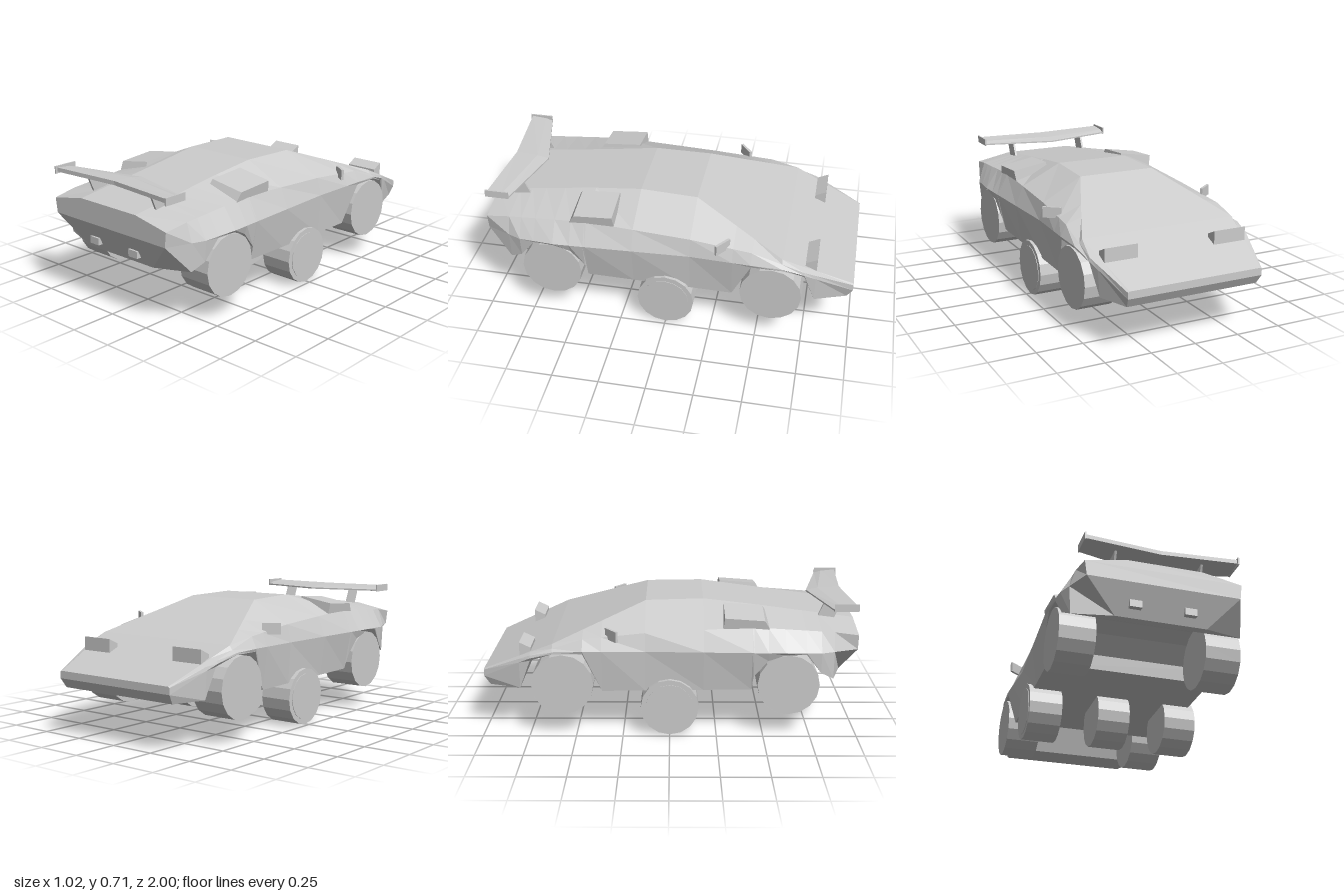
import * as THREE from 'three';

const mat = new THREE.MeshStandardMaterial({ color: 0xcccccc, flatShading: true, side: THREE.DoubleSide });

// Skin between rings of [x, y, z] points, with both ends closed in strips
function loft(rings) {
  const v = [];
  const quad = (a, b, c, d) => v.push(...a, ...b, ...c, ...a, ...c, ...d);
  const n = rings[0].length;
  for (let j = 0; j < rings.length - 1; j++) {
    for (let i = 0; i < n; i++) {
      const k = (i + 1) % n;
      quad(rings[j][i], rings[j][k], rings[j + 1][k], rings[j + 1][i]);
    }
  }
  const first = rings[0], last = rings[rings.length - 1];
  for (let i = 0; i < n / 2 - 1; i++) {
    const k = n - 1 - i;
    quad(last[i], last[i + 1], last[k - 1], last[k]);
    quad(first[k], first[k - 1], first[i + 1], first[i]);
  }
  const g = new THREE.BufferGeometry();
  g.setAttribute('position', new THREE.Float32BufferAttribute(v, 3));
  g.computeVertexNormals();
  return g;
}

// Point [x, y] at z on a body line of [z, x, y] keys
function along(line, z) {
  const i = Math.max(1, line.findIndex(p => p[0] >= z));
  const [a, b] = [line[i - 1], line[i]];
  const t = (z - a[0]) / (b[0] - a[0]);
  return [a[1] + (b[1] - a[1]) * t, a[2] + (b[2] - a[2]) * t];
}

// Side profile of [z, y] points given a width along x
function sideProfile(pts, width) {
  const shape = new THREE.Shape(pts.map(p => new THREE.Vector2(...p)));
  return new THREE.ExtrudeGeometry(shape, { depth: width, bevelEnabled: false })
    .translate(0, 0, -width / 2).rotateY(-Math.PI / 2);
}

// Body lines from nose to tail; the sill rises over the wheel arches
const sill = [
  [-1, 0.37, 0.25], [-0.8, 0.43, 0.25], [-0.74, 0.45, 0.41], [-0.62, 0.48, 0.455],
  [-0.46, 0.48, 0.455], [-0.36, 0.45, 0.24], [0.435, 0.45, 0.25], [0.445, 0.47, 0.33],
  [0.52, 0.48, 0.42], [0.61, 0.49, 0.455], [0.72, 0.485, 0.455], [0.8, 0.47, 0.35],
  [0.87, 0.445, 0.31], [1, 0.24, 0.298],
];
const waist = [
  [-1, 0.38, 0.3], [-0.74, 0.46, 0.425], [-0.62, 0.48, 0.465], [-0.46, 0.485, 0.47],
  [-0.13, 0.465, 0.465], [0.61, 0.5, 0.468], [0.8, 0.48, 0.462], [1, 0.4, 0.46],
];
const shoulder = [
  [-1, 0.38, 0.335], [-0.74, 0.455, 0.44], [-0.46, 0.455, 0.53], [-0.13, 0.44, 0.56],
  [0.435, 0.43, 0.59], [0.87, 0.42, 0.56], [1, 0.41, 0.54],
];
const roof = [
  [-1, 0.37, 0.34], [-0.62, 0.44, 0.5], [-0.13, 0.22, 0.68],
  [0.18, 0.21, 0.687], [0.435, 0.2, 0.655], [1, 0.2, 0.58],
];

function bodyGeometry() {
  const lines = [sill, waist, shoulder, roof];
  const stations = [...new Set(lines.flat().map(p => p[0]))].sort((a, b) => a - b);
  return loft(stations.map(z => {
    // The lower edge is tucked in at nose and tail
    const half = lines.map((line, i) => [...along(line, z), i ? z : Math.min(0.93, Math.max(-0.97, z))]);
    return [...half, ...half.map(([x, y, pz]) => [-x, y, pz]).reverse()];
  }));
}

// Wing sections at both tips and the centre, swept forward in the middle
function wingGeometry() {
  return loft([-0.41, 0, 0.41].map(x => {
    const tip = Math.abs(x) / 0.41;
    const [front, crease, rear] = [0.765 + 0.1 * tip, 0.83 + 0.075 * tip, 0.95 + 0.035 * tip];
    return [
      [x, 0.672, front], [x, 0.668, crease], [x, 0.678, rear],
      [x, 0.70, rear], [x, 0.692, crease], [x, 0.68, front],
    ];
  }));
}

export function createModel() {
  const model = new THREE.Group();
  const add = (name, geo, x = 0, y = 0, z = 0) => {
    const m = new THREE.Mesh(geo, mat);
    m.name = name;
    m.position.set(x, y, z);
    model.add(m);
    return m;
  };

  add('body', bodyGeometry());
  add('rearWing', wingGeometry());

  // Wheels: two large axles and a lower middle row of three
  const wheel = (name, r, width, x, z, y) =>
    add(name, new THREE.CylinderGeometry(r, r, width, 16).rotateZ(Math.PI / 2), x, y, z);
  wheel('middleWheel', 0.155, 0.18, 0, 0, 0.155);

  for (const s of [1, -1]) {
    wheel('frontWheel', 0.165, 0.19, s * 0.385, -0.57, 0.285);
    wheel('rearWheel', 0.165, 0.19, s * 0.385, 0.63, 0.285);
    wheel('middleWheel', 0.155, 0.18, s * 0.385, 0, 0.155);
    wheel('middleHub', 0.128, 0.006, s * 0.475, 0, 0.155);

    // Raised air intakes on the shoulders
    const intake = add('airIntake',
      sideProfile([[0.28, -0.05], [0.54, -0.05], [0.50, 0.02], [0.29, 0.035]], 0.2),
      s * 0.338, 0.622, 0);
    intake.rotation.z = -s * 0.16;

    // Pop-up headlights
    add('headlight',
      sideProfile([[-0.80, 0.41], [-0.74, 0.42], [-0.74, 0.468], [-0.80, 0.497]], 0.185), s * 0.313);

    // Door mirrors
    const mirror = add('mirror', new THREE.BoxGeometry(0.1, 0.058, 0.014), s * 0.465, 0.556, -0.305);
    mirror.rotation.y = -s * 0.65;

    // Wing struts and end plates
    add('wingStrut',
      sideProfile([[0.80, 0.59], [0.89, 0.58], [0.93, 0.68], [0.84, 0.68]], 0.012), s * 0.23);
    add('wingEndPlate', new THREE.BoxGeometry(0.008, 0.04, 0.13), s * 0.406, 0.688, 0.93);

    // Exhaust outlets
    add('exhaust', new THREE.BoxGeometry(0.063, 0.038, 0.05), s * 0.143, 0.358, 0.95);
  }

  return model;
}
